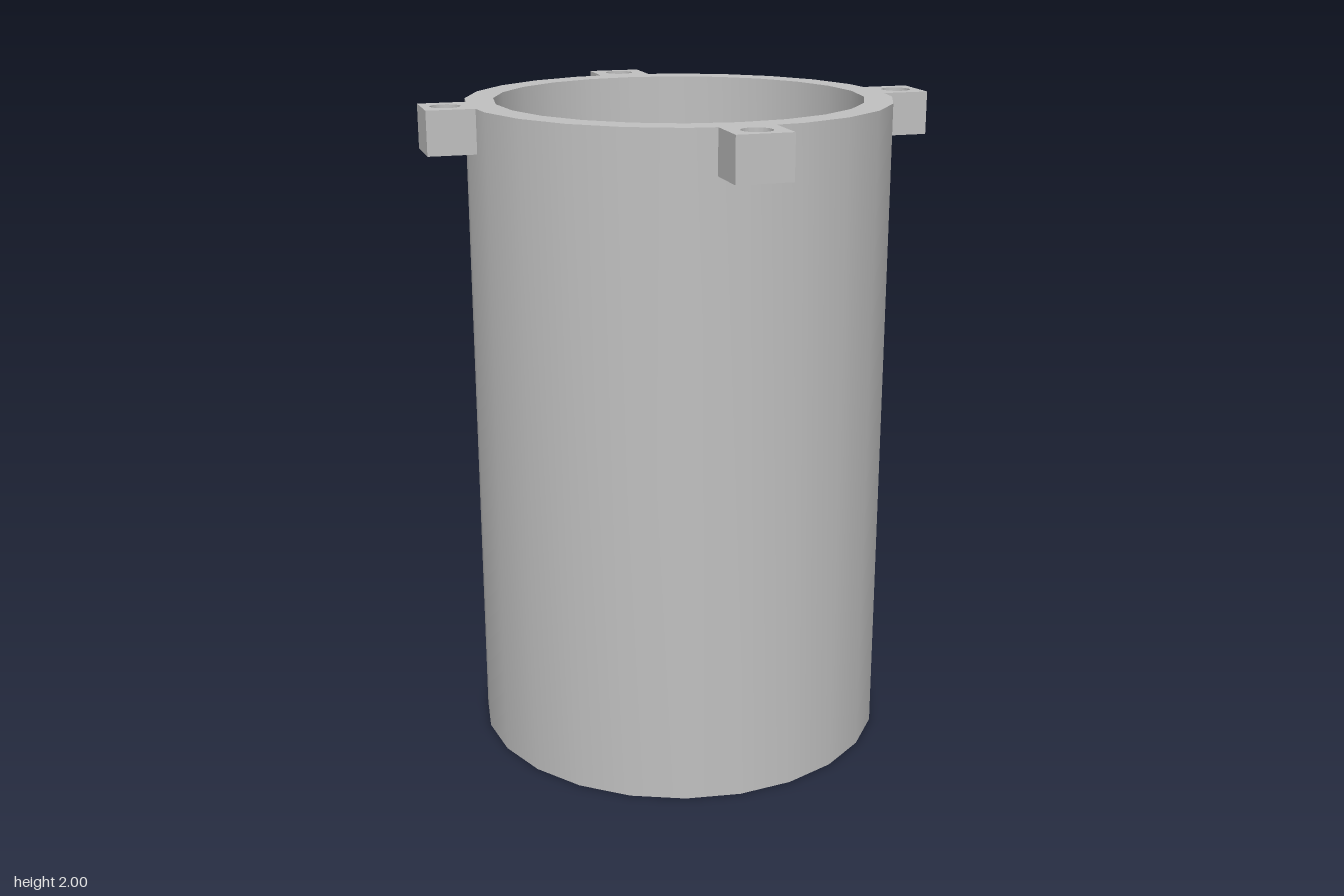
import * as THREE from 'three';
import { toCreasedNormals } from 'three/addons/utils/BufferGeometryUtils.js';

const HEIGHT = 2, OUTER = 0.64, INNER = 0.555, FLOOR = 0.08, SIDES = 24;
const LUG_HEIGHT = 0.13, LUG_HALF = 0.082, LUG_END = 0.772;
const HOLE_X = 0.703, HOLE_RADIUS = 0.044;
const CREASE = Math.PI / 6;

// Open-topped cup: underside, outer wall, rim, inner wall, floor
function cupGeometry() {
  const profile = [
    [0, 0], [OUTER, 0], [OUTER, HEIGHT], [INNER, HEIGHT], [INNER, FLOOR], [0, FLOOR],
  ].map(([r, y]) => new THREE.Vector2(r, y));
  return toCreasedNormals(new THREE.LatheGeometry(profile, SIDES), CREASE);
}

// Square lug with a vertical bolt hole, its root following the faceted wall
function lugGeometry() {
  const root = OUTER - LUG_HALF * Math.tan(Math.PI / SIDES);
  const shape = new THREE.Shape([
    [OUTER, 0], [root, -LUG_HALF], [LUG_END, -LUG_HALF], [LUG_END, LUG_HALF], [root, LUG_HALF],
  ].map(([x, y]) => new THREE.Vector2(x, y)));
  shape.holes.push(new THREE.Path().absarc(HOLE_X, 0, HOLE_RADIUS, 0, Math.PI * 2, true));
  const geometry = new THREE.ExtrudeGeometry(shape, {
    depth: LUG_HEIGHT, bevelEnabled: false, curveSegments: 24,
  });
  geometry.rotateX(-Math.PI / 2).translate(0, HEIGHT - LUG_HEIGHT, 0);
  return toCreasedNormals(geometry, CREASE);
}

export function createModel() {
  const model = new THREE.Group();
  model.name = 'canister';
  const grey = new THREE.MeshStandardMaterial({ color: 0xc0c0c0 });
  grey.name = 'grey';

  const cup = new THREE.Mesh(cupGeometry(), grey);
  cup.name = 'cup';
  model.add(cup);

  // Four lugs, a quarter turn apart around the rim
  const geometry = lugGeometry();
  ['leftLug', 'backLug', 'rightLug', 'frontLug'].forEach((name, i) => {
    const lug = new THREE.Mesh(geometry, grey);
    lug.name = name;
    lug.rotation.y = i * Math.PI / 2;
    model.add(lug);
  });
  return model;
}
